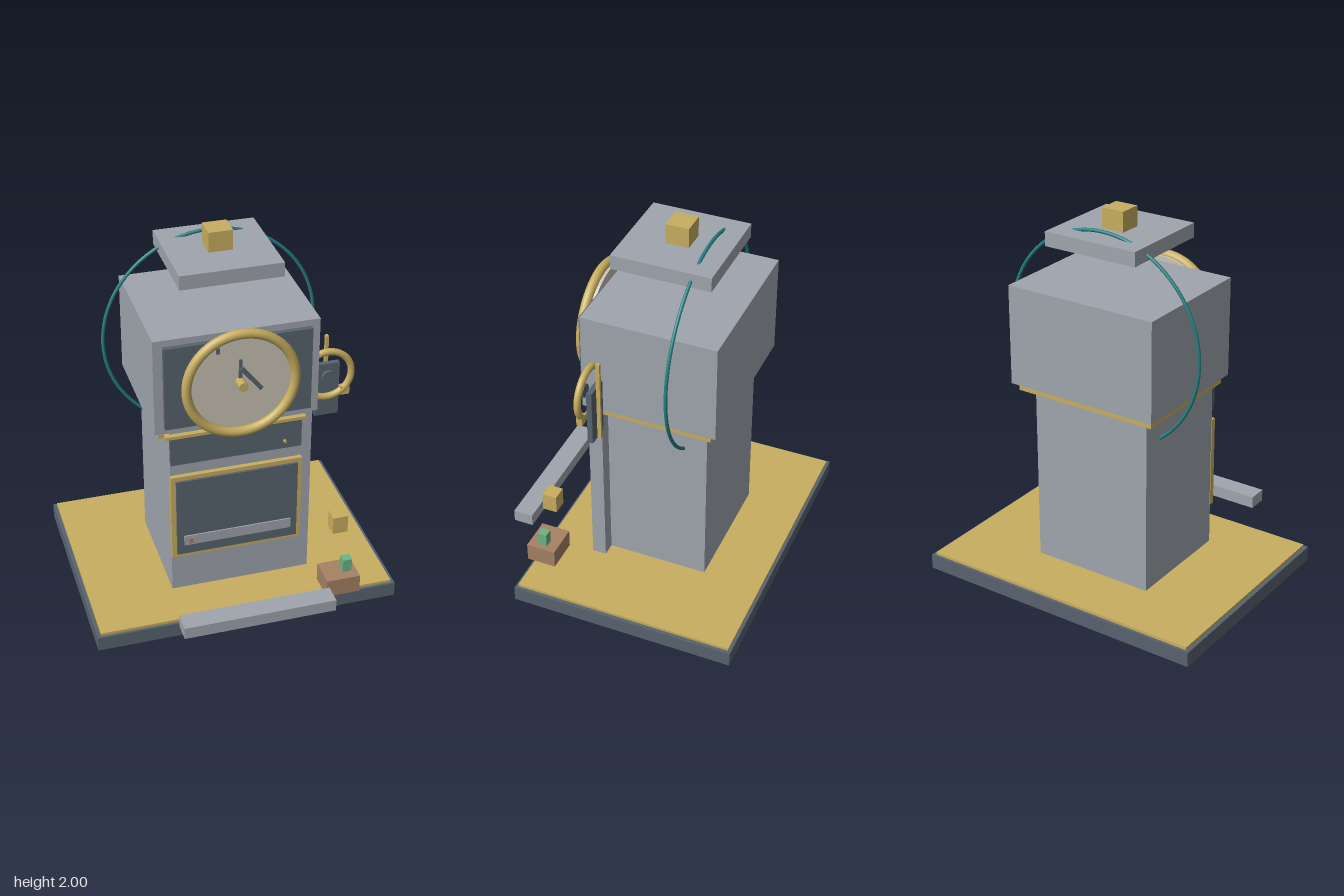
import * as THREE from 'three';

const mat = (name, color) => {
  const m = new THREE.MeshStandardMaterial({ color });
  m.name = name;
  return m;
};

export function createModel() {
  const model = new THREE.Group();
  model.name = 'clockCabinet';
  const grey = mat('grey', 0xa0a5ae);
  const slate = mat('slate', 0x58636f);
  const gold = mat('gold', 0xc8ae60);
  const ivory = mat('ivory', 0xcbc4b5);
  const teal = mat('teal', 0x258082);
  const brown = mat('brown', 0xa68265);
  const green = mat('green', 0x6bb585);

  const add = (name, geometry, material, x, y, z) => {
    const mesh = new THREE.Mesh(geometry, material);
    mesh.name = name;
    mesh.position.set(x, y, z);
    model.add(mesh);
    return mesh;
  };
  // Box given by its extents on each axis
  const box = (name, material, [x0, x1], [y0, y1], [z0, z1]) =>
    add(name, new THREE.BoxGeometry(x1 - x0, y1 - y0, z1 - z0), material,
      (x0 + x1) / 2, (y0 + y1) / 2, (z0 + z1) / 2);
  // Disc or rod along z
  const disc = (name, material, r, x, y, [z0, z1], sides = 32) =>
    add(name, new THREE.CylinderGeometry(r, r, z1 - z0, sides).rotateX(Math.PI / 2),
      material, x, y, (z0 + z1) / 2);
  const ring = (name, material, r, tube, x, y, z) =>
    add(name, new THREE.TorusGeometry(r, tube, 12, 72), material, x, y, z);

  // Base
  box('base', slate, [-0.805, 0.805], [0, 0.08], [-0.7, 0.5]);
  box('baseTop', gold, [-0.785, 0.785], [0.08, 0.095], [-0.685, 0.485]);

  // Cabinet
  box('body', grey, [-0.345, 0.327], [0.095, 1.09], [-0.375, 0.235]);
  box('cornerColumn', grey, [0.325, 0.4], [0.095, 1.09], [0.16, 0.234]);
  box('neckTrim', gold, [-0.4, 0.398], [1.045, 1.083], [-0.42, 0.225]);
  box('head', grey, [-0.423, 0.42], [1.088, 1.615], [-0.452, 0.253]);

  // Roof and finial
  box('roofSlab', grey, [-0.262, 0.262], [1.82, 1.895], [-0.355, 0.16]);
  box('finial', gold, [-0.062, 0.062], [1.895, 2], [-0.16, -0.04]);
  ring('hoop', teal, 0.56, 0.009, 0, 1.355, -0.25);

  // Clock
  box('clockPanel', slate, [-0.375, 0.375], [1.125, 1.58], [0.25, 0.28]);
  disc('clockFace', ivory, 0.275, 0, 1.355, [0.28, 0.295], 64);
  ring('clockRim', gold, 0.276, 0.025, 0, 1.355, 0.32);
  box('minuteHand', slate, [-0.008, 0.008], [1.36, 1.48], [0.3, 0.309]);
  const hand = box('hourHand', slate, [0.043, 0.065], [1.288, 1.454], [0.309, 0.318]);
  hand.rotation.z = Math.atan2(0.1, 0.125);
  box('dialMark', slate, [-0.12, -0.103], [1.525, 1.556], [0.293, 0.302]);
  disc('clockHub', gold, 0.024, 0, 1.355, [0.295, 0.36], 20);

  // Upper front panel
  box('panelTrim', gold, [-0.37, 0.36], [1.05, 1.067], [0.225, 0.262]);
  box('upperPanel', slate, [-0.345, 0.34], [0.89, 1.05], [0.23, 0.255]);
  disc('panelKnob', gold, 0.009, 0.25, 0.936, [0.255, 0.27], 6);

  // Door
  box('doorFrame', gold, [-0.348, 0.345], [0.318, 0.818], [0.23, 0.26]);
  box('door', slate, [-0.323, 0.32], [0.343, 0.795], [0.25, 0.273]);
  box('doorStrip', grey, [-0.287, 0.285], [0.4, 0.457], [0.27, 0.28]);
  box('doorLatch', brown, [-0.264, -0.242], [0.413, 0.445], [0.278, 0.288]);

  // Side wheel
  box('wheelBracket', slate, [0.44, 0.566], [0.99, 1.29], [0.132, 0.16]);
  box('wheelRod', gold, [0.496, 0.512], [0.988, 1.435], [0.112, 0.134]);
  ring('wheelRim', gold, 0.13, 0.018, 0.49, 1.244, 0.182);
  disc('wheelHub', slate, 0.035, 0.49, 1.243, [0.198, 0.216], 24);
  box('wheelHandle', gold, [0.562, 0.61], [1.118, 1.165], [0.166, 0.196]);

  // Loose pieces in front
  box('frontStep', grey, [-0.402, 0.4], [0.147, 0.213], [0.593, 0.7]);
  box('crate', brown, [0.412, 0.594], [0.095, 0.195], [0.367, 0.525]);
  box('crateBlock', green, [0.517, 0.565], [0.195, 0.27], [0.424, 0.472]);
  box('floatingCube', gold, [0.462, 0.542], [0.437, 0.535], [0.366, 0.444]);

  return model;
}
